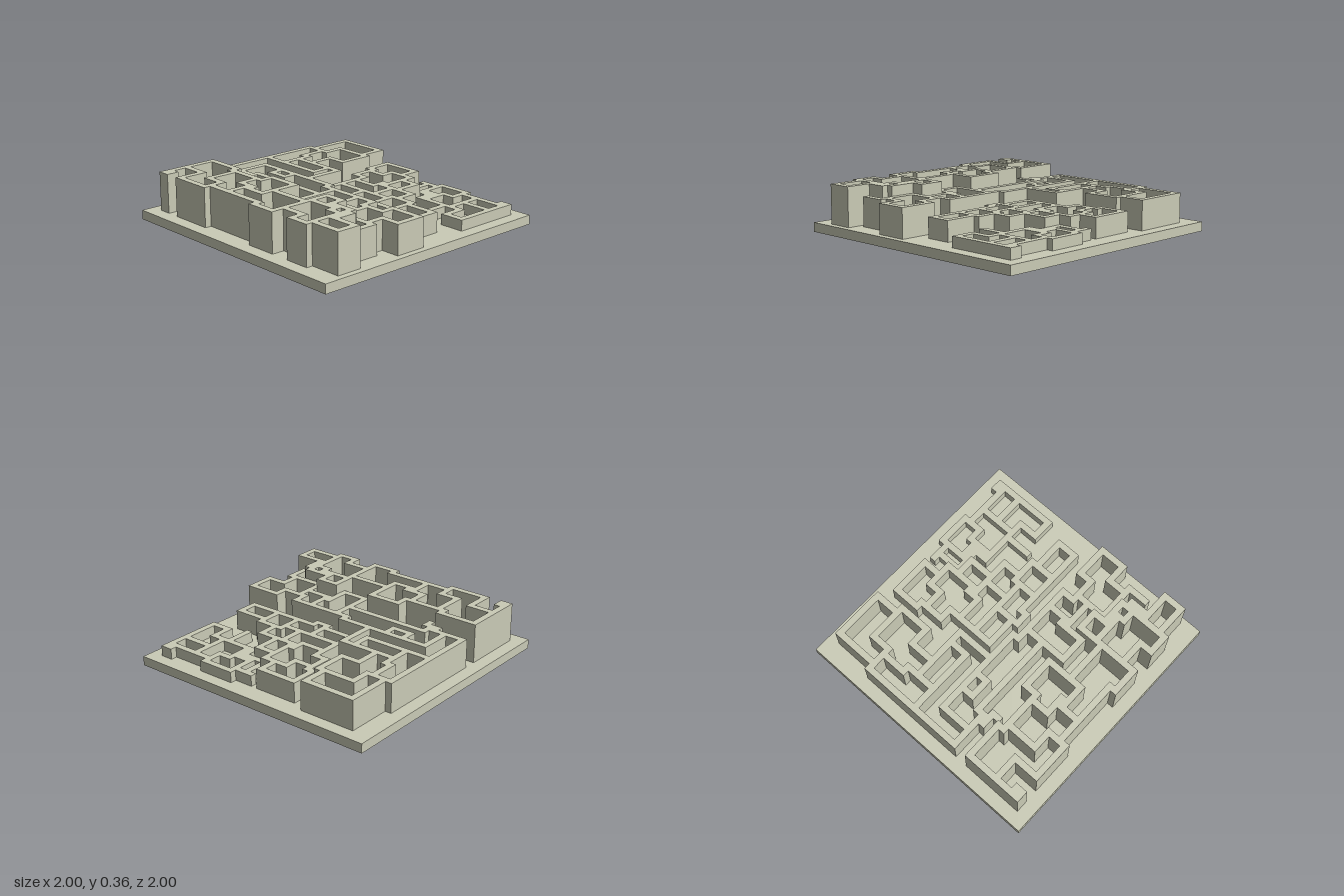
import * as THREE from 'three';
import { mergeGeometries } from 'three/addons/utils/BufferGeometryUtils.js';

const CELL = 0.0488, X0 = -0.902, Z0 = -0.906, FLOOR = 0.07;

// Each wall is a set of centre-line paths on a square grid: column, row, column, row...
const FRONT_WALL = [
  [1, 35, 1, 36, 0, 36, 0, 27, 6, 27, 6, 28, 13, 28, 13, 26, 18, 26, 18, 32, 15, 32, 15, 31, 12, 31, 12, 28],
  [0, 32, 4, 32, 4, 36, 10, 36, 10, 33, 7, 33, 7, 28],
  [10, 35, 21, 35, 21, 36, 25, 36, 25, 34, 29, 34, 29, 36, 32, 36, 32, 35, 37, 35, 37, 32, 33, 32],
  [14, 31, 14, 35],
  [18, 30, 25, 30],
  [25, 34, 25, 26, 28, 26, 28, 28, 32, 28, 32, 29, 33, 29, 33, 32],
  [25, 29, 30, 29, 30, 30, 32, 30, 32, 35],
];
const MIDDLE_WALL = [
  [9, 0, 1, 0, 1, 7, 4, 7, 4, 4, 10, 4, 10, 9, 7, 9, 7, 13],
  [9, 0, 9, 4],
  [1, 7, 0, 7, 0, 24, 6, 24, 6, 23, 20, 23],
  [3, 7, 3, 11, 4, 11, 4, 16],
  [4, 13, 13, 13, 13, 19],
  [11, 13, 11, 16, 0, 16],
  [3, 24, 3, 19, 18, 19, 18, 20, 28, 20, 28, 22, 32, 22, 32, 20, 37, 20, 37, 24, 34, 24, 34, 27, 29, 27, 29, 22],
  [7, 19, 7, 21, 10, 21, 10, 19],
  [5, 24, 5, 25, 7, 25, 7, 26],
  [20, 20, 20, 27, 24, 27, 24, 23, 25, 23, 25, 20],
  [24, 24, 29, 24],
  [34, 27, 35, 27, 35, 30],
];
const BACK_WALL = [
  [12, 1, 18, 1, 18, 4, 16, 4, 16, 6, 13, 6, 13, 5, 12, 5, 12, 1],
  [13, 6, 13, 9, 15, 9, 15, 17, 20, 17, 20, 18, 22, 18, 22, 17, 34, 17, 34, 14, 29, 14],
  [15, 11, 19, 11, 19, 9, 20, 9, 20, 4, 18, 4],
  [20, 6, 23, 6, 23, 10, 26, 10, 26, 13, 29, 13, 29, 17],
  [20, 9, 20, 10, 22, 10, 22, 14],
  [15, 14, 25, 14, 25, 13, 26, 13],
  [20, 14, 20, 17],
  [25, 14, 25, 17],
];
const CORNER_WALL = [
  [23, 0, 28, 0, 28, 3, 26, 3, 26, 4, 23, 4, 23, 0],
  [23, 1, 20, 1],
  [21, 1, 21, 5, 25, 5, 25, 7, 33, 7, 33, 10, 36, 10, 36, 0, 35, 0, 35, 1, 28, 1],
  [26, 4, 26, 7],
  [31, 1, 31, 7],
  [31, 4, 36, 4],
  [30, 7, 30, 11],
];

// One box per straight run of a path
function wallGeometry(paths, height) {
  const boxes = [];
  for (const p of paths) {
    for (let k = 0; k + 3 < p.length; k += 2) {
      const [a, b, c, d] = p.slice(k, k + 4);
      const box = new THREE.BoxGeometry((Math.abs(c - a) + 1) * CELL, height, (Math.abs(d - b) + 1) * CELL);
      box.translate(X0 + ((a + c + 1) / 2) * CELL, FLOOR + height / 2, Z0 + ((b + d + 1) / 2) * CELL);
      boxes.push(box);
    }
  }
  return mergeGeometries(boxes);
}

export function createModel() {
  const group = new THREE.Group();
  group.name = 'mazeBoard';
  const material = new THREE.MeshStandardMaterial({ color: 0xcacbb6 });
  const add = (name, geometry) => {
    const mesh = new THREE.Mesh(geometry, material);
    mesh.name = name;
    group.add(mesh);
  };

  // Square base slab
  add('base', new THREE.BoxGeometry(2, FLOOR, 2).translate(0, FLOOR / 2, 0));

  // Four winding walls, stepping down from the front to the back corner
  add('frontWall', wallGeometry(FRONT_WALL, 0.295));
  add('middleWall', wallGeometry(MIDDLE_WALL, 0.22));
  add('backWall', wallGeometry(BACK_WALL, 0.15));
  add('cornerWall', wallGeometry(CORNER_WALL, 0.08));
  return group;
}
